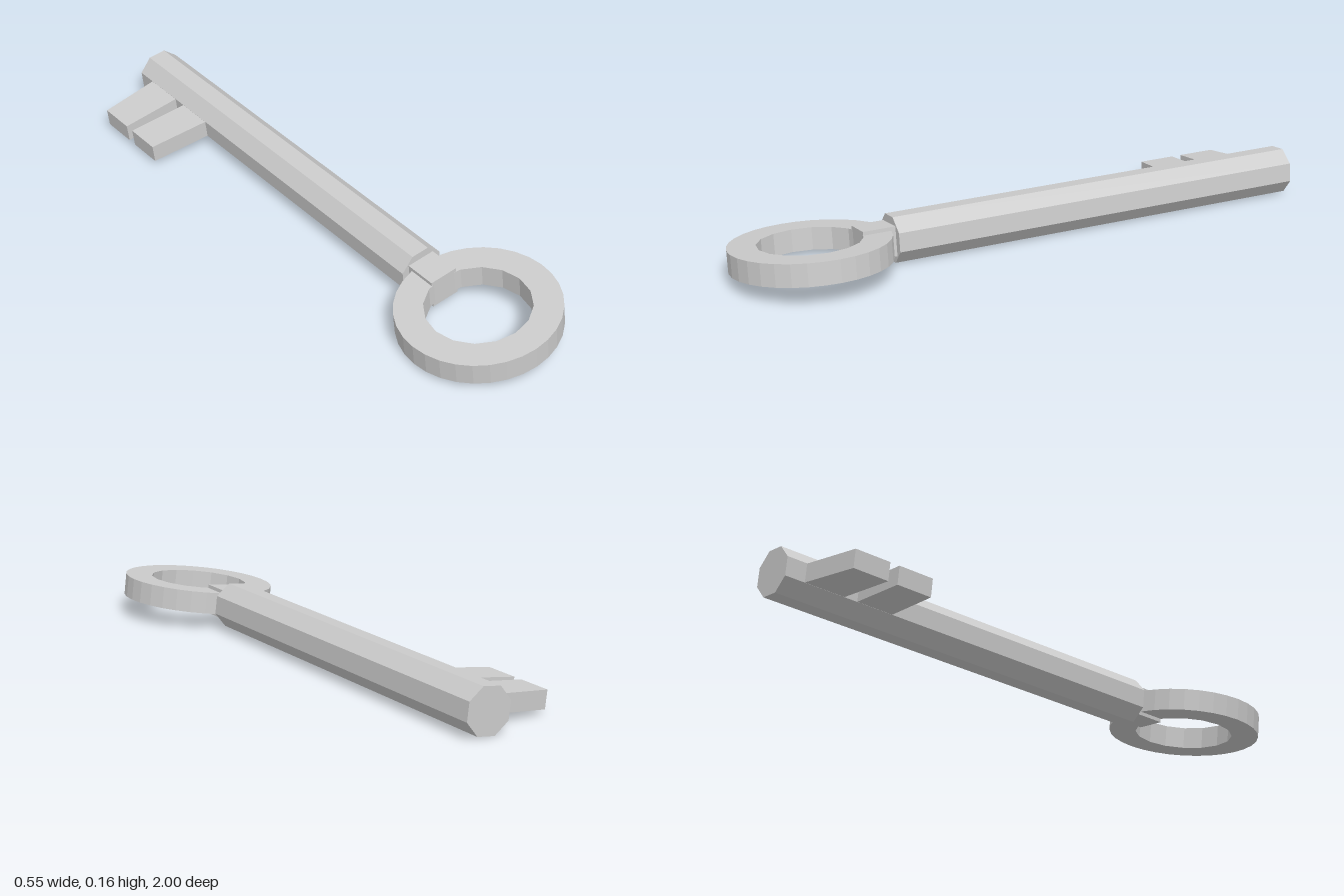
import * as THREE from 'three';

const material = new THREE.MeshStandardMaterial({ color: 0xcccccc, flatShading: true });

function add(parent, name, geometry) {
  const mesh = new THREE.Mesh(geometry, material);
  mesh.name = name;
  parent.add(mesh);
  return mesh;
}

// Flat plate lying in the xz plane, centred on y = 0.
// Outline points are [x, z], counter-clockwise as seen from above.
function plate(outline, thickness, hole) {
  const toVec = ([x, z]) => new THREE.Vector2(x, -z);
  const shape = new THREE.Shape(outline.map(toVec));
  if (hole) shape.holes.push(new THREE.Path(hole.map(toVec)));
  const geometry = new THREE.ExtrudeGeometry(shape, { depth: thickness, bevelEnabled: false });
  return geometry.translate(0, 0, -thickness / 2).rotateX(-Math.PI / 2);
}

function polygon(radius, sides) {
  return Array.from({ length: sides }, (_, i) => {
    const a = (i / sides) * Math.PI * 2;
    return [radius * Math.cos(a), -radius * Math.sin(a)];
  });
}

export function createModel() {
  const model = new THREE.Group();
  model.name = 'key';

  // The whole key is rolled slightly about its long axis
  const body = new THREE.Group();
  body.name = 'keyBody';
  body.position.set(0.012, 0.079, 0);
  body.rotation.z = 0.122;
  model.add(body);

  // Octagonal shaft
  const shaft = new THREE.CylinderGeometry(0.081, 0.081, 1.47, 8);
  shaft.rotateY(Math.PI / 8).rotateX(Math.PI / 2);
  add(body, 'shaft', shaft).position.z = -0.265;

  // Ring handle
  add(body, 'ringHandle', plate(polygon(0.26, 32), 0.074, polygon(0.168, 16))).position.z = 0.74;

  // Block joining shaft and ring
  add(body, 'collar', new THREE.BoxGeometry(0.098, 0.098, 0.13)).position.z = 0.515;

  // Two teeth, each flaring towards the shaft
  const teeth = [
    [[-0.286, -0.904], [-0.286, -0.777], [-0.06, -0.784], [-0.06, -0.931]],
    [[-0.286, -0.743], [-0.286, -0.617], [-0.06, -0.601], [-0.06, -0.735]],
  ];
  teeth.forEach((outline, i) => add(body, i ? 'innerTooth' : 'endTooth', plate(outline, 0.061)));

  return model;
}
